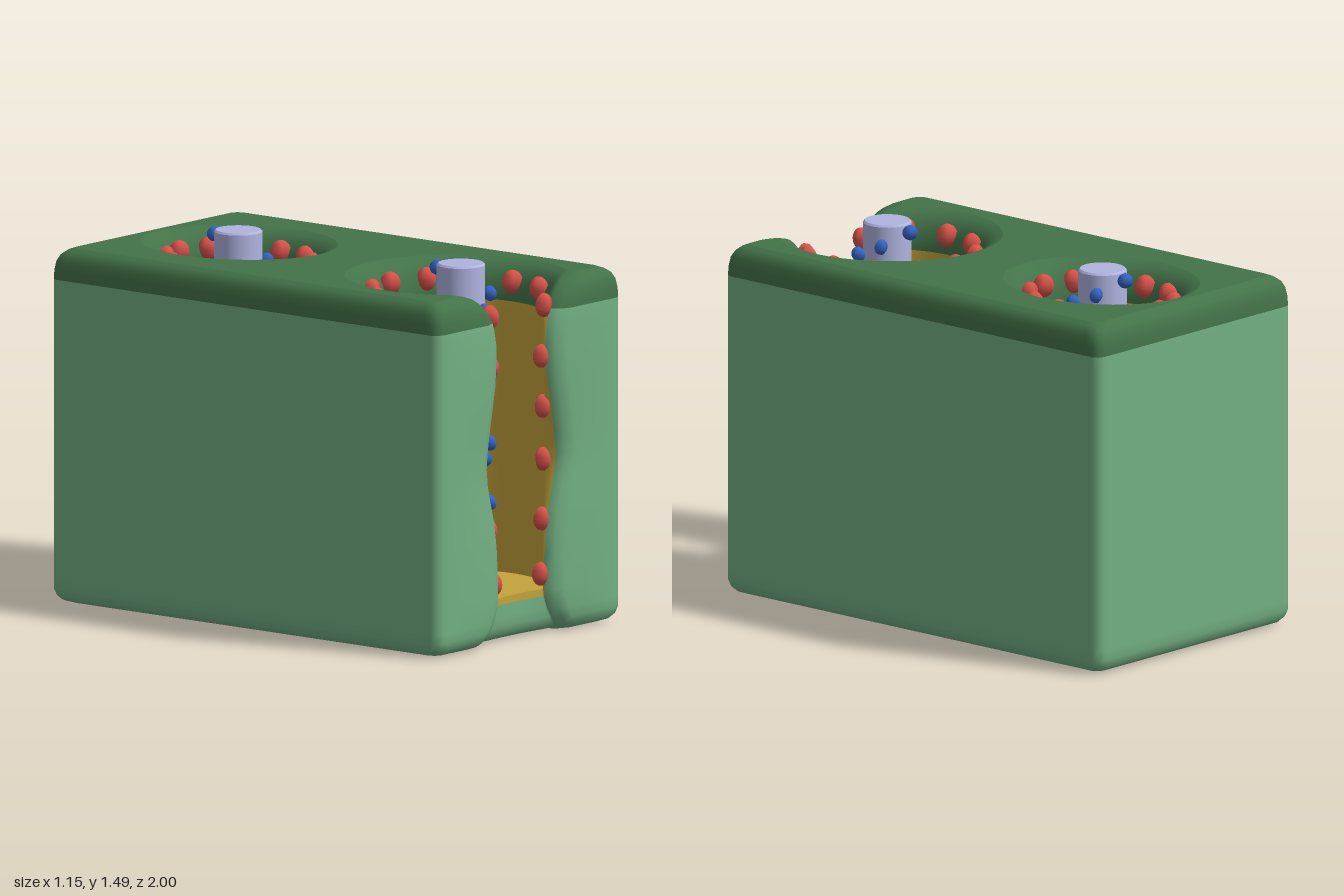
import * as THREE from 'three';
import { toCreasedNormals } from 'three/addons/utils/BufferGeometryUtils.js';

const mat = (name, color) => Object.assign(new THREE.MeshStandardMaterial({ color }), { name });
const FLOOR = 0.18, TOP = 1.435;
const FRONT = { z: 0.63, rx: 0.34, rz: 0.35 };
const BACK = { z: -0.5, rx: 0.26, rz: 0.31 };

// block levels: height, outer inset, slot half width, flare of the wells
const BASE = [
  [0, 0.06, 0.25, 0], [0.012, 0.025, 0.24, 0], [0.03, 0.009, 0.225, 0], [0.06, 0, 0.2, 0],
  [0.1, 0, 0.175, 0], [0.15, 0, 0.155, 0], [FLOOR, 0, 0.15, 0],
];
const WALL = [
  [FLOOR, 0, 0.15, 0], [0.3, 0, 0.153, 0], [0.4, 0, 0.16, 0], [0.5, 0, 0.175, 0], [0.6, 0, 0.202, 0],
  [0.66, 0, 0.216, 0], [0.72, 0, 0.222, 0], [0.78, 0, 0.217, 0], [0.86, 0, 0.205, 0], [0.95, 0, 0.187, 0],
  [1.05, 0, 0.168, 0], [1.15, 0, 0.16, 0], [1.22, 0, 0.162, 0], [1.28, 0, 0.174, 0], [1.31, 0, 0.185, 0.004],
  [1.35, 0.002, 0.21, 0.015], [1.385, 0.008, 0.24, 0.033], [1.41, 0.02, 0.275, 0.055],
  [1.425, 0.037, 0.315, 0.078], [TOP, 0.06, 0.36, 0.105],
];

function slotWidth(y) {
  const i = Math.max(1, WALL.findIndex(r => r[0] >= y));
  const [a, b] = [WALL[i - 1], WALL[i]];
  return THREE.MathUtils.lerp(a[2], b[2], (y - a[0]) / (b[0] - a[0]));
}

const onEllipse = (well, phi, grow = 0) =>
  [(well.rx + grow) * Math.sin(phi), well.z + (well.rz + grow) * Math.cos(phi)];

// plan outline of the block at one level: outer walls, then the open well (or a shallow dent below its floor)
const ARC = 40, OUTER = 20;
function outline([, inset, w, flare], open) {
  const X = 0.577 - inset, Z = 1 - inset, r = 0.035, s = 0.03;
  const half = [
    [w, Z - 0.05], [w + 0.025, Z - 0.018], [w + 0.07, Z],
    [X - r - s, Z], [X - r, Z], [X - r * 0.3, Z - r * 0.3], [X, Z - r], [X, Z - r - s],
    [X, -Z + r + s], [X, -Z + r], [X - r * 0.3, -Z + r * 0.3], [X - r, -Z], [X - r - s, -Z],
  ];
  const pts = [...half, ...half.slice().reverse().map(([x, z]) => [-x, z])];
  const start = Math.asin(w / (FRONT.rx + flare));
  for (let i = 0; i <= ARC; i++) {
    const t = i / ARC;
    pts.push(open ? onEllipse(FRONT, -start - t * (2 * Math.PI - 2 * start), flare)
      : [w * (2 * t - 1), Z - 0.055 - 0.012 * Math.sin(Math.PI * t)]);
  }
  return pts;
}
const OUTER_SEGMENTS = 25; // segments before the outline turns into the well

// skin through stacked loops; pick(segment, middle height) gives the material index
function loft(loops, heights, materials, pick) {
  const lists = materials.map(() => []);
  const n = loops[0].length;
  for (let j = 0; j + 1 < loops.length; j++) {
    for (let i = 0; i < n; i++) {
      const k = (i + 1) % n;
      const P = (row, c) => [loops[row][c][0], heights[row], loops[row][c][1]];
      const a = P(j, i), b = P(j, k), c = P(j + 1, k), d = P(j + 1, i);
      lists[pick(i, (heights[j] + heights[j + 1]) / 2)].push(...a, ...b, ...c, ...a, ...c, ...d);
    }
  }
  const geo = new THREE.BufferGeometry();
  geo.setAttribute('position', new THREE.Float32BufferAttribute(lists.flat(), 3));
  let at = 0;
  lists.forEach((l, m) => { geo.addGroup(at, l.length / 3, m); at += l.length / 3; });
  return new THREE.Mesh(toCreasedNormals(geo, 0.9), materials);
}

export function createModel() {
  const model = new THREE.Group();
  const light = mat('light green', 0x72b083), dark = mat('dark green', 0x437349);
  const yellow = mat('ochre yellow', 0xc4a43c), lilac = mat('pale lilac', 0xb0b4e0);
  const red = mat('coral red', 0xd9534a), blue = mat('strong blue', 0x3565c6);
  const add = (mesh, name, parent = model) => { mesh.name = name; parent.add(mesh); return mesh; };

  // block walls with the slotted front well
  const rows = [...BASE, ...WALL];
  const loops = rows.map((r, i) => outline(r, i >= BASE.length));
  add(loft(loops, rows.map(r => r[0]), [light, dark, yellow], (i, y) => {
    if (i < OUTER_SEGMENTS) return y > 1.31 ? 1 : 0;
    return y > 1.28 ? 1 : y > 0.15 ? 2 : 0;
  }), 'blockWalls');

  // closed back well, starting from the middle of its floor
  const ring = (grow, scale = 1) => Array.from({ length: 48 }, (_, i) => {
    const [x, z] = onEllipse(BACK, -i / 48 * Math.PI * 2, grow);
    return [x * scale, BACK.z + (z - BACK.z) * scale];
  });
  const wellLoops = [ring(0, 0), ...WALL.map(r => ring(r[3]))];
  add(loft(wellLoops, [FLOOR, ...WALL.map(r => r[0])], [yellow, dark],
    (i, y) => (y > 1.28 ? 1 : 0)), 'backWell');

  // top with the back well cut out, and underside
  const vec = (pts, sign) => pts.map(([x, z]) => new THREE.Vector2(x, sign * z));
  const topShape = new THREE.Shape(vec(loops.at(-1), -1));
  topShape.holes.push(new THREE.Path(vec(wellLoops.at(-1), -1)));
  const top = add(new THREE.Mesh(new THREE.ShapeGeometry(topShape).rotateX(-Math.PI / 2), dark), 'blockTop');
  top.position.y = TOP;
  const under = new THREE.Shape(vec(loops[0], 1));
  add(new THREE.Mesh(new THREE.ShapeGeometry(under).rotateX(Math.PI / 2), light), 'blockUnderside');

  // four-sided beads, one side facing outward
  const redBead = new THREE.SphereGeometry(0.042, 4, 10).rotateY(Math.PI / 4).scale(1, 1.15, 1);
  const blueBead = new THREE.SphereGeometry(0.031, 4, 10).rotateY(Math.PI / 4);
  const bead = (geo, material, name, parent, x, y, z, turn) => {
    const b = add(new THREE.Mesh(geo, material), name, parent);
    b.position.set(x, y, z);
    b.rotation.y = turn;
  };

  // red beads round both rims and down the slot edges
  for (const [well, name] of [[FRONT, 'frontRimBeads'], [BACK, 'backRimBeads']]) {
    const group = add(new THREE.Group(), name);
    for (let i = 0; i < 12; i++) {
      if (well === FRONT && i === 0) continue;
      const phi = i * Math.PI / 6;
      const [x, z] = onEllipse(well, phi);
      const y = well === FRONT && (i === 1 || i === 11) ? 1.325 : 1.36;
      bead(redBead, red, 'rimBead', group, x, y, z, phi);
    }
  }
  const slotBeads = add(new THREE.Group(), 'slotBeads');
  for (const y of [1.12, 0.91, 0.69, 0.46, 0.24]) {
    for (const side of [-1, 1]) {
      const w = slotWidth(y), phi = Math.asin(w / FRONT.rx);
      const [x, z] = onEllipse(FRONT, phi);
      bead(redBead, red, 'slotBead', slotBeads, side * x, y, z - 0.01, side * phi);
    }
  }

  // rods with blue beads winding upward
  for (const [z, name] of [[0.645, 'frontRod'], [-0.505, 'backRod']]) {
    const group = add(new THREE.Group(), name);
    group.position.z = z;
    const height = 1.487 - FLOOR;
    const profile = [[0, 0], [0.097, 0], [0.097, height - 0.008], [0.09, height], [0, height]]
      .map(p => new THREE.Vector2(...p));
    const rod = toCreasedNormals(new THREE.LatheGeometry(profile, 32), 0.5);
    add(new THREE.Mesh(rod, lilac), 'rodShaft', group).position.y = FLOOR;
    [0.17, 0.39, 0.62, 0.885, 1.205].forEach((base, level) => {
      for (let k = 0; k < 6; k++) {
        const phi = (k - 2) * Math.PI / 3;
        bead(blueBead, blue, 'rodBead', group, 0.122 * Math.sin(phi),
          base + k * (0.036 + level * 0.0035), 0.122 * Math.cos(phi), phi);
      }
    });
  }
  return model;
}
